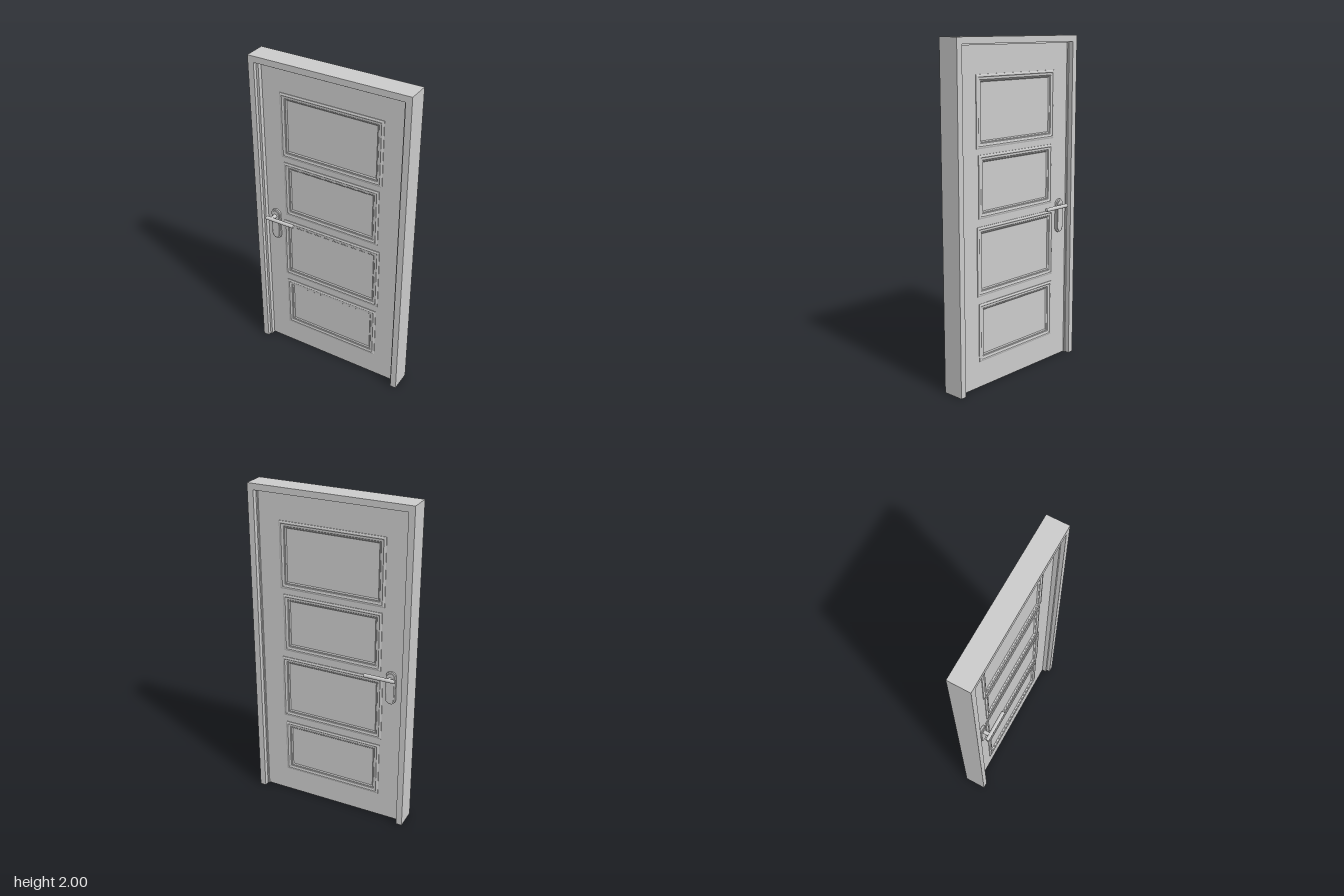
import * as THREE from 'three';

const material = new THREE.MeshStandardMaterial({ color: 0xcccccc });
const FRONT = 0.01, BACK = -0.034;   // faces of the door leaf

// Panel openings: outer edges of the moulding [x0, x1, y0, y1]
const panels = [
  [-0.328, 0.322, 1.395, 1.8],
  [-0.315, 0.307, 1.0, 1.36],
  [-0.328, 0.322, 0.55, 0.955],
  [-0.318, 0.312, 0.157, 0.505],
];

function add(parent, name, geometry, x = 0, y = 0, z = 0) {
  const mesh = new THREE.Mesh(geometry, material);
  mesh.name = name;
  mesh.position.set(x, y, z);
  parent.add(mesh);
  return mesh;
}

const corners = (x0, x1, y0, y1) => [[x0, y0], [x1, y0], [x1, y1], [x0, y1]];
const toPoints = (list) => list.map(([x, y]) => new THREE.Vector2(x, y));

// Upside-down U (two jambs and a head), extruded from z0 to z1
function archGeometry(outerX, outerY, innerX, innerY, z0, z1) {
  const shape = new THREE.Shape(toPoints([
    [-outerX, 0], [-innerX, 0], [-innerX, innerY], [innerX, innerY],
    [innerX, 0], [outerX, 0], [outerX, outerY], [-outerX, outerY],
  ]));
  return new THREE.ExtrudeGeometry(shape, { depth: z1 - z0, bevelEnabled: false }).translate(0, 0, z0);
}

// Mitred moulding: a profile of [inset, height] swept round a rectangle
function mouldingGeometry([x0, x1, y0, y1], profile, face, side) {
  const loops = profile.map(([d, h]) =>
    corners(x0 + d, x1 - d, y0 + d, y1 - d).map(([x, y]) => [x, y, face + side * h]));
  const positions = [];
  for (let i = 0; i < loops.length - 1; i++) {
    for (let k = 0; k < 4; k++) {
      const n = (k + 1) % 4;
      const a = loops[i][k], b = loops[i][n], c = loops[i + 1][n], d = loops[i + 1][k];
      const quad = side > 0 ? [a, b, c, a, c, d] : [a, c, b, a, d, c];
      quad.forEach((p) => positions.push(...p));
    }
  }
  const geometry = new THREE.BufferGeometry();
  geometry.setAttribute('position', new THREE.Float32BufferAttribute(positions, 3));
  geometry.computeVertexNormals();
  return geometry;
}

// Upright plate with fully rounded ends and a bevelled rim, centred on the origin
function plateGeometry(width, height, depth, bevel) {
  const r = width / 2 - bevel, h = height / 2 - bevel - r;
  const shape = new THREE.Shape();
  shape.absarc(0, h, r, 0, Math.PI, false);
  shape.absarc(0, -h, r, Math.PI, Math.PI * 2, false);
  shape.closePath();
  return new THREE.ExtrudeGeometry(shape, {
    depth: depth - 2 * bevel, bevelSize: bevel, bevelThickness: bevel, bevelSegments: 2, curveSegments: 10,
  }).translate(0, 0, -depth / 2 + bevel);
}

function createHandle(name, side, face, leverZ) {
  const handle = new THREE.Group();
  handle.name = name;
  add(handle, 'backPlate', plateGeometry(0.064, 0.21, 0.014, 0.005), -0.382, 0.912, face + side * 0.007);
  add(handle, 'raisedPlate', plateGeometry(0.046, 0.19, 0.008, 0.003), -0.382, 0.912, face + side * 0.016);

  // Neck between plate and lever
  const length = Math.abs(leverZ - face);
  const neck = new THREE.CylinderGeometry(0.011, 0.013, length, 16).rotateX(Math.PI / 2 * side);
  add(handle, 'neck', neck, -0.382, 0.973, (face + leverZ) / 2);

  // Lever turned along x, with softened ends and two shallow grooves
  const profile = [
    [0, -0.42], [0.009, -0.42], [0.0115, -0.417], [0.0115, -0.359], [0.009, -0.357], [0.0115, -0.355],
    [0.0115, -0.257], [0.009, -0.255], [0.0115, -0.253], [0.0115, -0.228], [0.009, -0.225], [0, -0.225],
  ];
  const lever = new THREE.LatheGeometry(toPoints(profile), 20).rotateZ(-Math.PI / 2);
  add(handle, 'lever', lever, 0, 0.973, leverZ);
  return handle;
}

export function createModel() {
  const door = new THREE.Group();
  door.name = 'panelledDoor';

  // Surrounding frame, with a stop in front of the leaf and a slim seal behind
  const frame = new THREE.Group();
  frame.name = 'frame';
  add(frame, 'frameBody', archGeometry(0.495, 2, 0.458, 1.963, -0.073, 0.06));
  add(frame, 'frontStop', archGeometry(0.459, 1.964, 0.444, 1.95, FRONT, 0.037));
  add(frame, 'backSeal', archGeometry(0.459, 1.964, 0.45, 1.955, -0.044, BACK));
  door.add(frame);

  // Leaf with four openings
  const leafShape = new THREE.Shape(toPoints(corners(-0.457, 0.457, 0.002, 1.962)));
  for (const [x0, x1, y0, y1] of panels) {
    const d = 0.012;
    leafShape.holes.push(new THREE.Path(toPoints(corners(x0 + d, x1 - d, y0 + d, y1 - d).reverse())));
  }
  const leaf = new THREE.ExtrudeGeometry(leafShape, { depth: FRONT - BACK, bevelEnabled: false });
  add(door, 'leaf', leaf, 0, 0, BACK);

  // Mouldings on both faces and the sunk panel inside each
  const profile = [
    [0, 0], [0, 0.004], [0.008, 0.007], [0.014, 0.007], [0.018, 0.004],
    [0.029, 0.003], [0.032, 0.0], [0.036, 0.0], [0.042, -0.006],
  ];
  panels.forEach((rect, i) => {
    const [x0, x1, y0, y1] = rect;
    const panel = new THREE.Group();
    panel.name = `panel${i + 1}`;
    add(panel, 'frontMoulding', mouldingGeometry(rect, profile, FRONT, 1));
    add(panel, 'backMoulding', mouldingGeometry(rect, profile, BACK, -1));
    add(panel, 'field', new THREE.BoxGeometry(x1 - x0 - 0.024, y1 - y0 - 0.024, FRONT - BACK - 0.012),
      (x0 + x1) / 2, (y0 + y1) / 2, (FRONT + BACK) / 2);
    door.add(panel);
  });

  // Lever handles
  door.add(createHandle('frontHandle', 1, FRONT, 0.07));
  door.add(createHandle('backHandle', -1, BACK, -0.073));
  return door;
}
